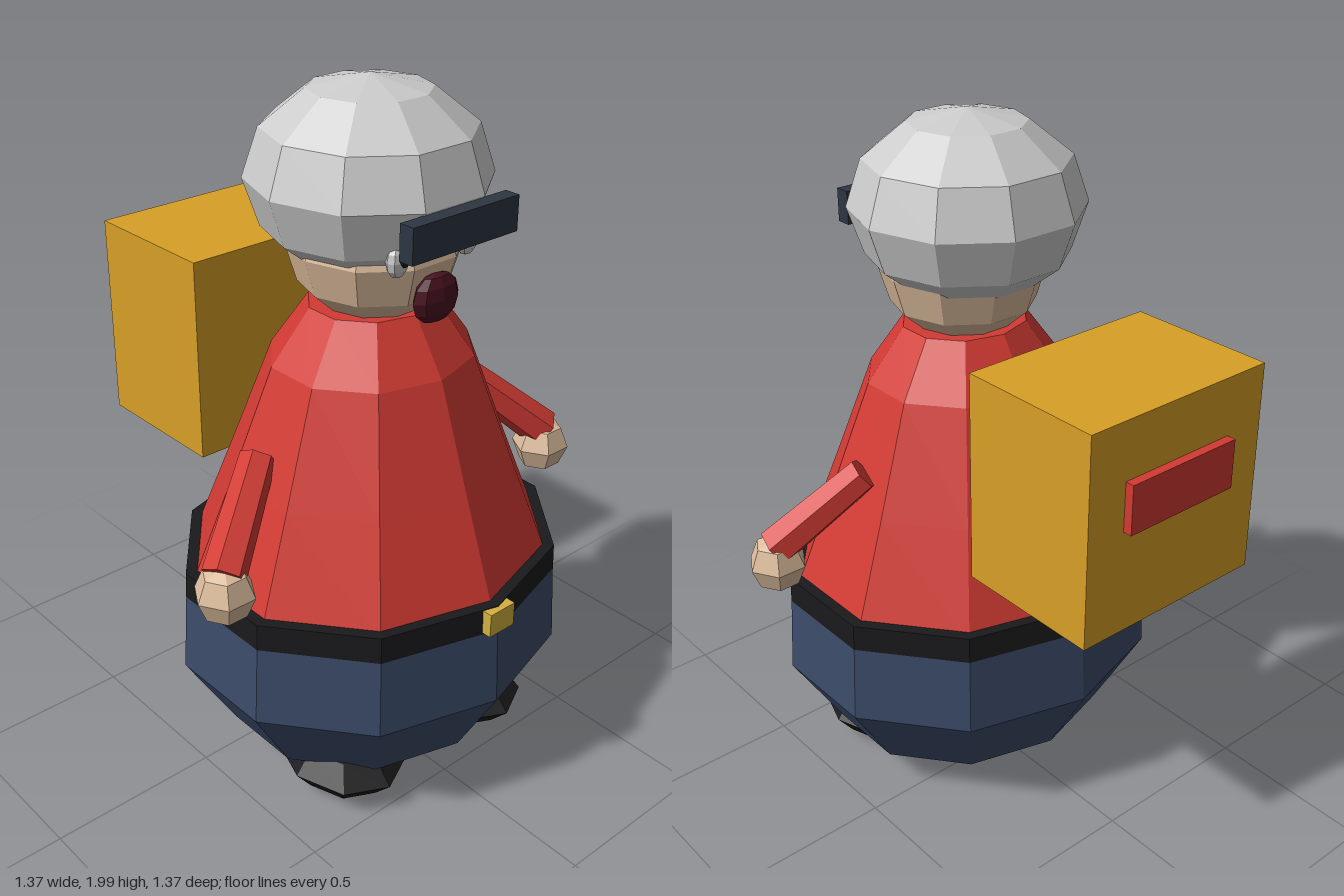
import * as THREE from 'three';

const paint = (color) => new THREE.MeshStandardMaterial({ color, flatShading: true });

export function createModel() {
  const root = new THREE.Group();
  const red = paint(0xd23a33), navy = paint(0x3b4b69), black = paint(0x1a1a1c), skin = paint(0xdcbc9c),
    grey = paint(0xcccccc), yellow = paint(0xd8a026), visorBlue = paint(0x2c3642), wine = paint(0x4a1220),
    gold = paint(0xd4b040), white = paint(0xeeeeee);

  const add = (name, geometry, material, x = 0, y = 0, z = 0) => {
    const mesh = new THREE.Mesh(geometry, material);
    mesh.name = name;
    mesh.position.set(x, y, z);
    root.add(mesh);
    return mesh;
  };
  const box = (name, w, h, d, material, x, y, z) =>
    add(name, new THREE.BoxGeometry(w, h, d), material, x, y, z);
  const ball = (name, rx, ry, rz, sides, rings, material, x, y, z) =>
    add(name, new THREE.SphereGeometry(1, sides, rings).scale(rx, ry, rz), material, x, y, z);
  // Ten-sided turned shape, slightly flattened front to back
  const turned = (name, profile, material) => {
    const points = profile.map(([r, y]) => new THREE.Vector2(r, y));
    return add(name, new THREE.LatheGeometry(points, 10).scale(1, 1, 0.9), material, 0, 0, 0.16);
  };

  // Clothed body
  turned('trousers', [[0, 0.14], [0.43, 0.14], [0.58, 0.38], [0.565, 0.62], [0, 0.62]], navy);
  turned('belt', [[0, 0.61], [0.566, 0.61], [0.563, 0.687], [0, 0.687]], black);
  turned('shirt', [[0, 0.66], [0.54, 0.66], [0.42, 0.95], [0.295, 1.26], [0.185, 1.41], [0, 1.41]], red);
  box('beltBuckle', 0.09, 0.07, 0.04, gold, 0, 0.65, 0.663);

  // Head, cap and face
  ball('head', 0.235, 0.21, 0.235, 10, 6, skin, 0, 1.57, 0.165);
  ball('cap', 0.325, 0.26, 0.325, 10, 6, grey, 0, 1.74, 0.14);
  box('visor', 0.36, 0.095, 0.045, visorBlue, 0, 1.688, 0.467);
  ball('mouth', 0.08, 0.068, 0.032, 8, 6, wine, 0, 1.482, 0.393);

  // Backpack
  box('backpack', 0.6, 0.6, 0.435, yellow, 0, 1.165, -0.4425);
  box('backpackLabel', 0.36, 0.14, 0.035, red, 0, 1.23, -0.668);

  // Mirrored parts
  for (const [side, s] of [['left', 1], ['right', -1]]) {
    ball(side + 'Eye', 0.034, 0.045, 0.024, 8, 6, white, s * 0.12, 1.605, 0.375);
    ball(side + 'Pupil', 0.018, 0.024, 0.012, 8, 6, black, s * 0.113, 1.615, 0.395);
    ball(side + 'Boot', 0.168, 0.09, 0.205, 8, 4, black, s * 0.24, 0.1, 0.315);
    ball(side + 'Hand', 0.085, 0.085, 0.085, 6, 4, skin, s * 0.598, 0.795, 0.27);

    // Arm runs from the shoulder down to the wrist
    const shoulder = new THREE.Vector3(s * 0.38, 1.055, 0.14);
    const wrist = new THREE.Vector3(s * 0.6, 0.845, 0.27);
    const axis = shoulder.clone().sub(wrist);
    const arm = add(side + 'Arm', new THREE.CylinderGeometry(0.05, 0.06, axis.length(), 6), red);
    arm.position.copy(shoulder).add(wrist).multiplyScalar(0.5);
    arm.quaternion.setFromUnitVectors(new THREE.Vector3(0, 1, 0), axis.normalize());
  }
  return root;
}
